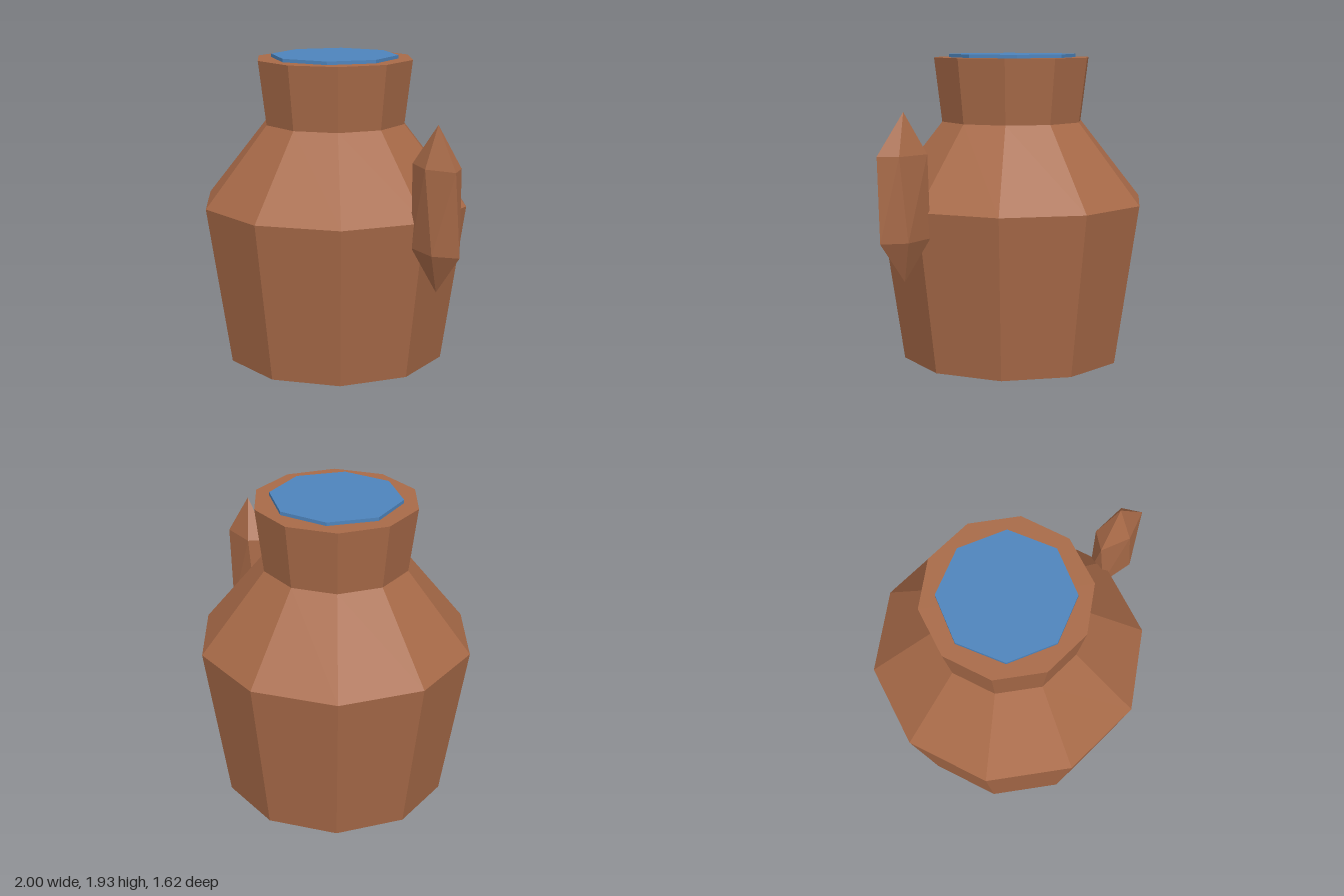
import * as THREE from 'three';
import { ConvexGeometry } from 'three/addons/geometries/ConvexGeometry.js';

const clay = new THREE.MeshStandardMaterial({ color: 0xa86a48, flatShading: true });
clay.name = 'clay brown';
const water = new THREE.MeshStandardMaterial({ color: 0x4e84bc, flatShading: true });
water.name = 'water blue';

function part(name, geometry, material, x, y) {
  const mesh = new THREE.Mesh(geometry, material);
  mesh.name = name;
  mesh.position.set(x, y, 0);
  return mesh;
}

// Squashed pentagon of points at one height
function ring(y, turnDegrees) {
  return Array.from({ length: 5 }, (_, i) => {
    const a = THREE.MathUtils.degToRad(turnDegrees + i * 72);
    return new THREE.Vector3(0.193 * Math.cos(a), y, 0.1 * Math.sin(a));
  });
}

export function createModel() {
  const model = new THREE.Group();
  model.name = 'jug';
  const axisX = -0.15;

  // Ten-sided body, shoulder and flared neck, closed at both ends
  const profile = [[0, 0], [0.7, 0], [0.85, 1.005], [0.45, 1.507], [0.5, 1.907], [0, 1.907]]
    .map(([r, y]) => new THREE.Vector2(r, y));
  const jug = new THREE.LatheGeometry(profile, 10).rotateY(Math.PI / 2);
  model.add(part('jugBody', jug, clay, axisX, 0));

  // Eight-sided liquid surface, just proud of the rim
  model.add(part('liquid', new THREE.CylinderGeometry(0.4, 0.4, 0.04, 8), water, axisX, 1.908));

  // Flattened faceted handle on the model's left, pointed at both ends
  const handle = new ConvexGeometry([
    new THREE.Vector3(0, 0.5, 0),
    ...ring(0.252, 18),
    ...ring(-0.252, 0),
    new THREE.Vector3(0, -0.5, 0),
  ]);
  model.add(part('handle', handle, clay, 0.806, 1.106));

  return model;
}
